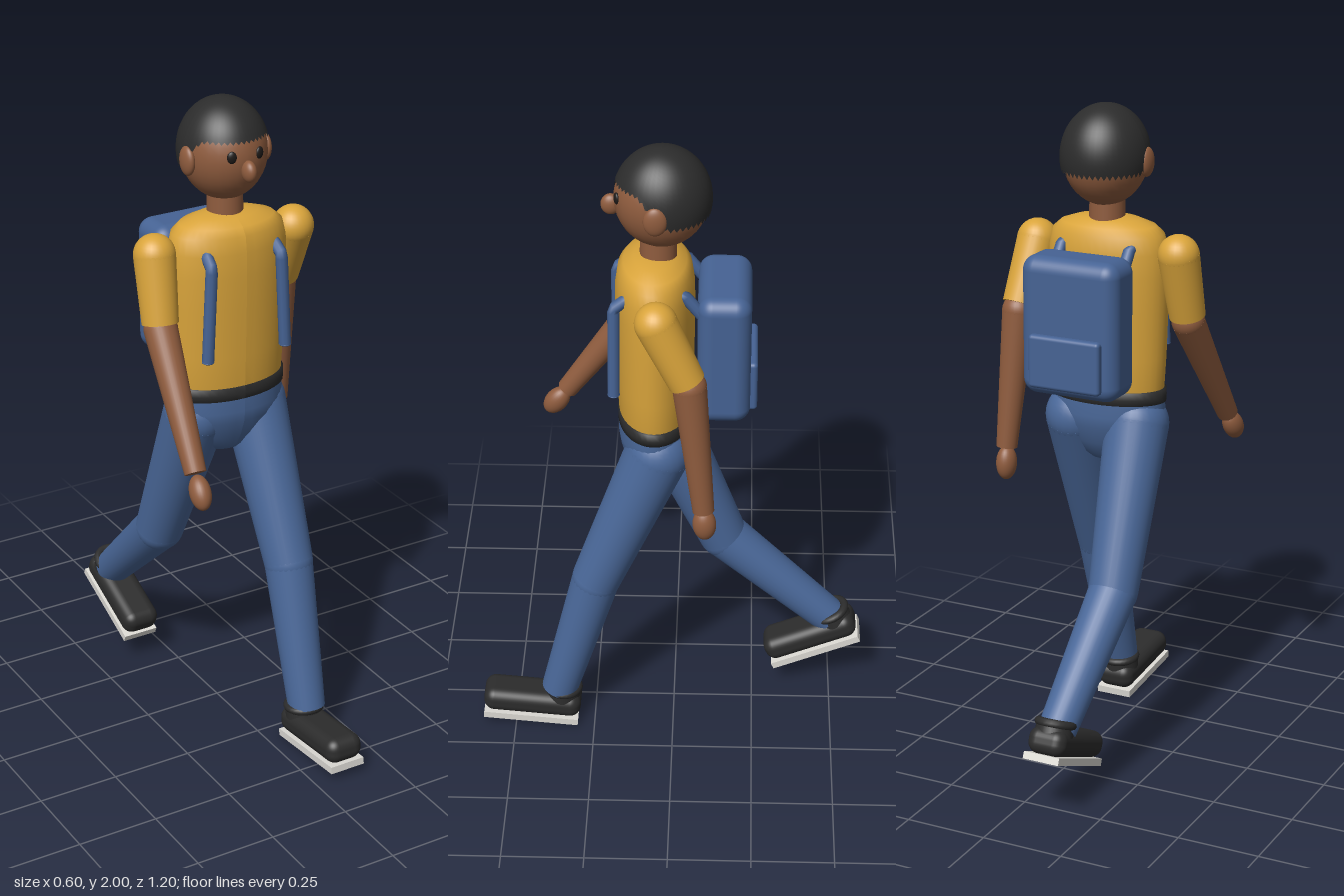
import * as THREE from 'three';
import { RoundedBoxGeometry } from 'three/addons/geometries/RoundedBoxGeometry.js';

const mat = (name, color) => {
  const m = new THREE.MeshStandardMaterial({ color });
  m.name = name;
  return m;
};
const V = (x, y, z) => new THREE.Vector3(x, y, z);

export function createModel() {
  const skin = mat('skin brown', 0x8f5c3e);
  const shirt = mat('shirt yellow', 0xd9a43b);
  const denim = mat('denim blue', 0x4a6899);
  const canvas = mat('bag blue', 0x466394);
  const black = mat('soft black', 0x2c2c2c);
  const soleGrey = mat('sole grey', 0xdcdad4);
  const eyeDark = mat('eye dark', 0x1e1a18);

  const root = new THREE.Group();
  root.name = 'walker';
  const add = (name, geo, material, pos = [0, 0, 0], parent = root) => {
    const m = new THREE.Mesh(geo, material);
    m.name = name;
    m.position.set(...pos);
    parent.add(m);
    return m;
  };
  const ellipsoid = (name, r, material, pos, parent) => {
    const m = add(name, new THREE.SphereGeometry(1, 28, 20), material, pos, parent);
    m.scale.set(...r);
    return m;
  };
  // Tapered limb between two points
  const limb = (name, a, b, ra, rb, material, parent) => {
    const d = b.clone().sub(a);
    const m = add(name, new THREE.CylinderGeometry(rb, ra, d.length(), 28), material,
      a.clone().add(b).multiplyScalar(0.5).toArray(), parent);
    m.quaternion.setFromUnitVectors(V(0, 1, 0), d.normalize());
    return m;
  };
  const joint = (name, p, r, material, parent) => ellipsoid(name, [r, r, r], material, p.toArray(), parent);
  // Oval lathe, profile listed from bottom to top
  const oval = (name, profile, material, depth) => {
    const geo = new THREE.LatheGeometry(profile.map(p => new THREE.Vector2(...p)), 40);
    geo.scale(1, 1, depth);
    geo.computeVertexNormals();
    return add(name, geo, material, [0, 0, 0.055]);
  };

  // Trunk
  oval('pelvis', [[0, 0.915], [0.06, 0.918], [0.1, 0.94], [0.14, 0.98], [0.175, 1.035], [0.183, 1.07], [0.18, 1.12]], denim, 0.6);
  oval('belt', [[0.17, 1.11], [0.185, 1.112], [0.186, 1.13], [0.185, 1.152], [0.17, 1.154]], black, 0.6);
  oval('shirt', [[0.17, 1.148], [0.178, 1.15], [0.184, 1.25], [0.189, 1.4], [0.191, 1.5], [0.188, 1.57],
    [0.176, 1.62], [0.15, 1.643], [0.1, 1.66], [0.055, 1.667], [0, 1.667]], shirt, 0.61);
  limb('neck', V(0, 1.63, 0.045), V(0, 1.75, 0.045), 0.054, 0.052, skin);

  // Head
  const head = new THREE.Group();
  head.name = 'head';
  head.position.set(0, 1.845, 0.035);
  root.add(head);
  ellipsoid('face', [0.125, 0.145, 0.136], skin, [0, 0, 0], head);
  ellipsoid('nose', [0.02, 0.032, 0.029], skin, [0, -0.025, 0.144], head);
  for (const s of [-1, 1]) {
    ellipsoid('ear', [0.018, 0.044, 0.034], skin, [s * 0.126, -0.01, 0.015], head);
    const eye = ellipsoid('eye', [0.014, 0.018, 0.008], eyeDark, [s * 0.045, 0.018, 0.125], head);
    eye.rotation.y = s * 0.35;
  }

  // Hair cap: hairline high over the face, low at the nape
  const hairGeo = new THREE.SphereGeometry(1, 48, 20);
  const { position, uv } = hairGeo.attributes;
  for (let i = 0; i < position.count; i++) {
    const phi = uv.getX(i) * Math.PI * 2;
    const front = THREE.MathUtils.smoothstep(Math.sin(phi), -0.2, 0.6);
    const theta = (1 - uv.getY(i)) * Math.acos(THREE.MathUtils.lerp(-0.3, 0.34, front));
    position.setXYZ(i, -Math.cos(phi) * Math.sin(theta) * 0.132, Math.cos(theta) * 0.155,
      Math.sin(phi) * Math.sin(theta) * 0.142);
  }
  hairGeo.computeVertexNormals();
  black.side = THREE.DoubleSide;
  add('hair', hairGeo, black, [0, 0, -0.002], head);

  // Arms: left swings back, right swings forward
  const arms = [
    { name: 'leftArm', shoulder: V(0.232, 1.57, 0.045), elbow: V(0.247, 1.37, -0.05), wrist: V(0.27, 0.95, -0.093), tip: V(0.27, 0.9, -0.096) },
    { name: 'rightArm', shoulder: V(-0.232, 1.57, 0.045), elbow: V(-0.242, 1.36, 0.095), wrist: V(-0.268, 1.01, 0.338), tip: V(-0.272, 0.964, 0.372) },
  ];
  for (const { name, shoulder, elbow, wrist, tip } of arms) {
    const g = new THREE.Group();
    g.name = name;
    root.add(g);
    joint('shoulder', shoulder, 0.062, shirt, g);
    limb('sleeve', shoulder, elbow.clone().lerp(shoulder, 0.08), 0.062, 0.054, shirt, g);
    joint('elbow', elbow, 0.05, skin, g);
    limb('forearm', elbow, wrist, 0.05, 0.032, skin, g);
    const hand = ellipsoid('hand', [0.031, 0.053, 0.035], skin, tip.toArray(), g);
    hand.quaternion.setFromUnitVectors(V(0, -1, 0), tip.clone().sub(wrist).normalize());
  }

  // Legs and shoes: left strides forward, right pushes off behind
  const legs = [
    { name: 'leftLeg', hip: V(0.1, 1.04, 0.045), knee: V(0.113, 0.57, 0.235), ankle: V(0.108, 0.12, 0.36), shoe: [0.104, 0.017, 0.453], pitch: -0.095 },
    { name: 'rightLeg', hip: V(-0.1, 1.04, 0.045), knee: V(-0.118, 0.57, -0.15), ankle: V(-0.106, 0.255, -0.495), shoe: [-0.104, 0.137, -0.458], pitch: 0.41 },
  ];
  for (const { name, hip, knee, ankle, shoe, pitch } of legs) {
    const g = new THREE.Group();
    g.name = name;
    root.add(g);
    joint('hip', hip, 0.097, denim, g);
    limb('thigh', hip, knee, 0.097, 0.075, denim, g);
    joint('knee', knee, 0.075, denim, g);
    limb('shin', knee, ankle, 0.074, 0.057, denim, g);
    const foot = new THREE.Group();
    foot.name = 'shoe';
    foot.position.set(...shoe);
    foot.rotation.x = pitch;
    g.add(foot);
    add('sole', new THREE.BoxGeometry(0.115, 0.022, 0.3), soleGrey, [0, 0.011, 0], foot);
    add('upper', new RoundedBoxGeometry(0.12, 0.08, 0.308, 5, 0.034), black, [0, 0.061, 0], foot);
    add('collar', new THREE.CylinderGeometry(0.055, 0.058, 0.04, 28), black, [0, 0.1, -0.092], foot);
    const cuff = add('cuff', new THREE.TorusGeometry(0.05, 0.013, 10, 28), black, [0, 0.115, -0.092], foot);
    cuff.rotation.x = Math.PI / 2;
  }

  // Backpack with pocket and shoulder straps
  const pack = new THREE.Group();
  pack.name = 'backpack';
  root.add(pack);
  add('bag', new RoundedBoxGeometry(0.31, 0.415, 0.155, 6, 0.045), canvas, [0, 1.378, -0.147], pack);
  add('pocket', new RoundedBoxGeometry(0.23, 0.16, 0.05, 4, 0.012), canvas, [0, 1.28, -0.22], pack);
  for (const s of [-1, 1]) {
    const path = new THREE.CurvePath();
    const pts = [V(s * 0.11, 1.5, -0.1), V(s * 0.11, 1.59, -0.03), V(s * 0.112, 1.575, 0.13),
      V(s * 0.116, 1.545, 0.17), V(s * 0.13, 1.26, 0.172)];
    for (let i = 1; i < pts.length; i++) path.add(new THREE.LineCurve3(pts[i - 1], pts[i]));
    add('strap', new THREE.TubeGeometry(path, 40, 0.018, 10), canvas, [0, 0, 0], pack);
    ellipsoid('strapEnd', [0.018, 0.006, 0.018], canvas, pts[4].toArray(), pack);
  }
  return root;
}
